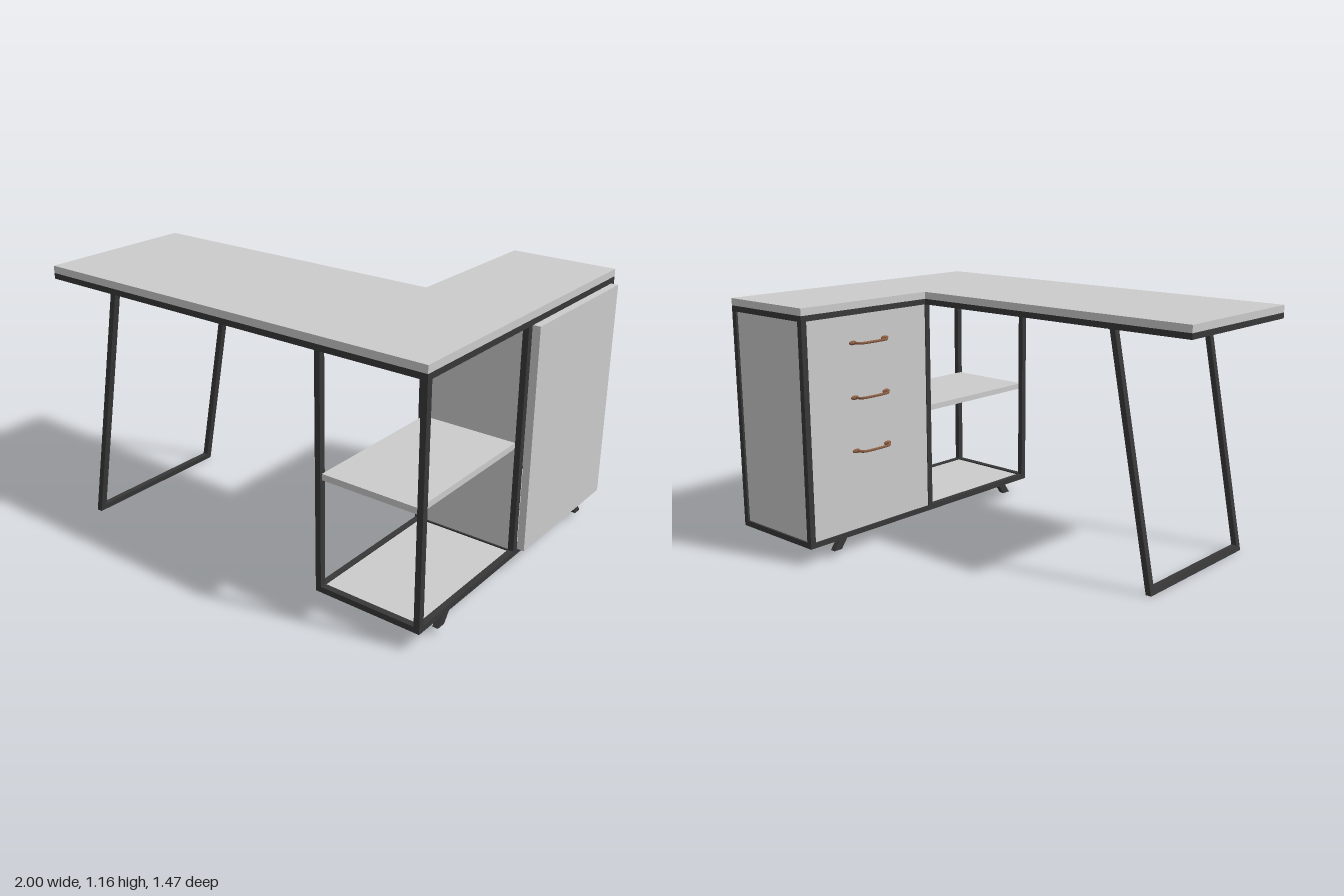
import * as THREE from 'three';

export function createModel() {
  const model = new THREE.Group();
  const grey = new THREE.MeshStandardMaterial({ color: 0xcccccc });
  const steel = new THREE.MeshStandardMaterial({ color: 0x383838 });
  const copper = new THREE.MeshStandardMaterial({ color: 0x8a5c42 });

  const add = (name, geometry, material, parent = model) => {
    const mesh = new THREE.Mesh(geometry, material);
    mesh.name = name;
    parent.add(mesh);
    return mesh;
  };
  // Box given by its limits on each axis
  const box = (name, [x0, x1], [y0, y1], [z0, z1], material, parent) =>
    add(name, new THREE.BoxGeometry(x1 - x0, y1 - y0, z1 - z0), material, parent)
      .position.set((x0 + x1) / 2, (y0 + y1) / 2, (z0 + z1) / 2);
  const group = (name) => {
    const g = new THREE.Group();
    g.name = name;
    model.add(g);
    return g;
  };
  // Box whose lower end is shifted by (dx, dz), for slanted bars
  const slanted = (name, xs, ys, zs, dx, dz, parent) => {
    const [w, h, d] = [xs, ys, zs].map(([a, b]) => b - a);
    const geo = new THREE.BoxGeometry(w, h, d);
    const p = geo.attributes.position;
    for (let i = 0; i < p.count; i++) {
      const t = 0.5 - p.getY(i) / h;
      p.setX(i, p.getX(i) + dx * t);
      p.setZ(i, p.getZ(i) + dz * t);
    }
    geo.computeVertexNormals();
    add(name, geo, steel, parent).position.set(
      (xs[0] + xs[1]) / 2, (ys[0] + ys[1]) / 2, (zs[0] + zs[1]) / 2);
  };

  const L = -1, C = 0.47, R = 0.967, D = 0.735;  // desk end, cabinet side, right side, depth
  const bar = 0.026;
  const low = [0.08, 0.106], high = [1.106, 1.132];
  const barZ = [[-D, -D + 0.028], [0, 0.028], [D - 0.028, D]];
  const barX = [[C, C + bar], [R - bar, R]];

  // L-shaped worktop
  const outline = new THREE.Shape([
    [L, -D], [R, -D], [R, D], [C, D], [C, 0], [L, 0],
  ].map(([x, y]) => new THREE.Vector2(x, y)));
  const top = new THREE.ExtrudeGeometry(outline, { depth: 0.033, bevelEnabled: false });
  top.rotateX(-Math.PI / 2);
  add('worktop', top, grey).position.y = high[1];

  // Rim under the worktop
  const rim = group('worktopRim');
  for (const z of barZ.slice(1)) box('longRail', [L, C], high, z, steel, rim);
  box('endRail', [L, L + bar], high, [0.028, D - 0.028], steel, rim);

  // Cabinet frame: posts plus upper and lower rails
  const frame = group('cabinetFrame');
  for (const z of barZ) {
    for (const x of barX) box('post', x, [low[0], high[1]], z, steel, frame);
    for (const y of [low, high])
      box('crossRail', [C + bar, R - bar], y, z, steel, frame);
  }
  for (const x of barX) for (const y of [low, high]) {
    box('sideRail', x, y, [-D + 0.028, 0], steel, frame);
    box('sideRail', x, y, [0.028, D - 0.028], steel, frame);
  }

  // Boards set into the frame
  const inX = [C + bar, R - bar], inY = [low[1], high[0]];
  box('shelf', inX, [0.578, 0.605], [0.028, D - 0.01], grey);
  box('bottomBoardFront', inX, [0.086, 0.1], [0.028, D - 0.028], grey);
  box('bottomBoardBack', inX, [0.086, 0.1], [-D + 0.028, 0], grey);
  box('divider', inX, inY, [0.004, 0.02], grey);
  box('backPanel', inX, inY, [-0.725, -0.71], grey);
  box('drawerFront', [C + 0.004, C + 0.022], inY, [-D + 0.028, 0], grey);
  box('sidePanel', [R, 1], inY, [-0.706, -0.004], grey);

  // Three bow handles
  const zMid = -0.355;
  const bow = new THREE.CatmullRomCurve3([
    [0.474, -0.09], [0.452, -0.088], [0.438, -0.076], [0.433, -0.045],
    [0.433, 0.045], [0.438, 0.076], [0.452, 0.088], [0.474, 0.09],
  ].map(([x, z]) => new THREE.Vector3(x, 0, z)));
  for (const y of [0.98, 0.73, 0.48]) {
    const handle = group('drawerHandle');
    handle.position.set(0, y, zMid);
    add('handleBow', new THREE.TubeGeometry(bow, 40, 0.006, 10), copper, handle);
    for (const s of [-1, 1]) {
      const foot = add('handleMount', new THREE.SphereGeometry(1, 14, 10), copper, handle);
      foot.scale.set(0.01, 0.01, 0.022);
      foot.position.set(0.472, 0, s * 0.095);
    }
  }

  // Short splayed feet
  const feet = group('cabinetFeet');
  for (const x of barX) for (const s of [-1, 1]) {
    const z = s * 0.548;
    slanted('foot', x, [0.035, 0.08], [z - 0.022, z + 0.022], 0, s * 0.033, feet);
  }

  // Slanted hoop leg at the far end
  const leg = group('hoopLeg');
  const slope = -0.222 / high[0];
  for (const z of barZ.slice(1))
    slanted('legBar', [-0.634, -0.607], [0, high[0]], z, -0.222, 0, leg);
  slanted('floorBar', [-0.856 - slope * 0.028, -0.829 - slope * 0.028], [0, 0.028],
    [0.028, D - 0.028], slope * 0.028, 0, leg);

  return model;
}
